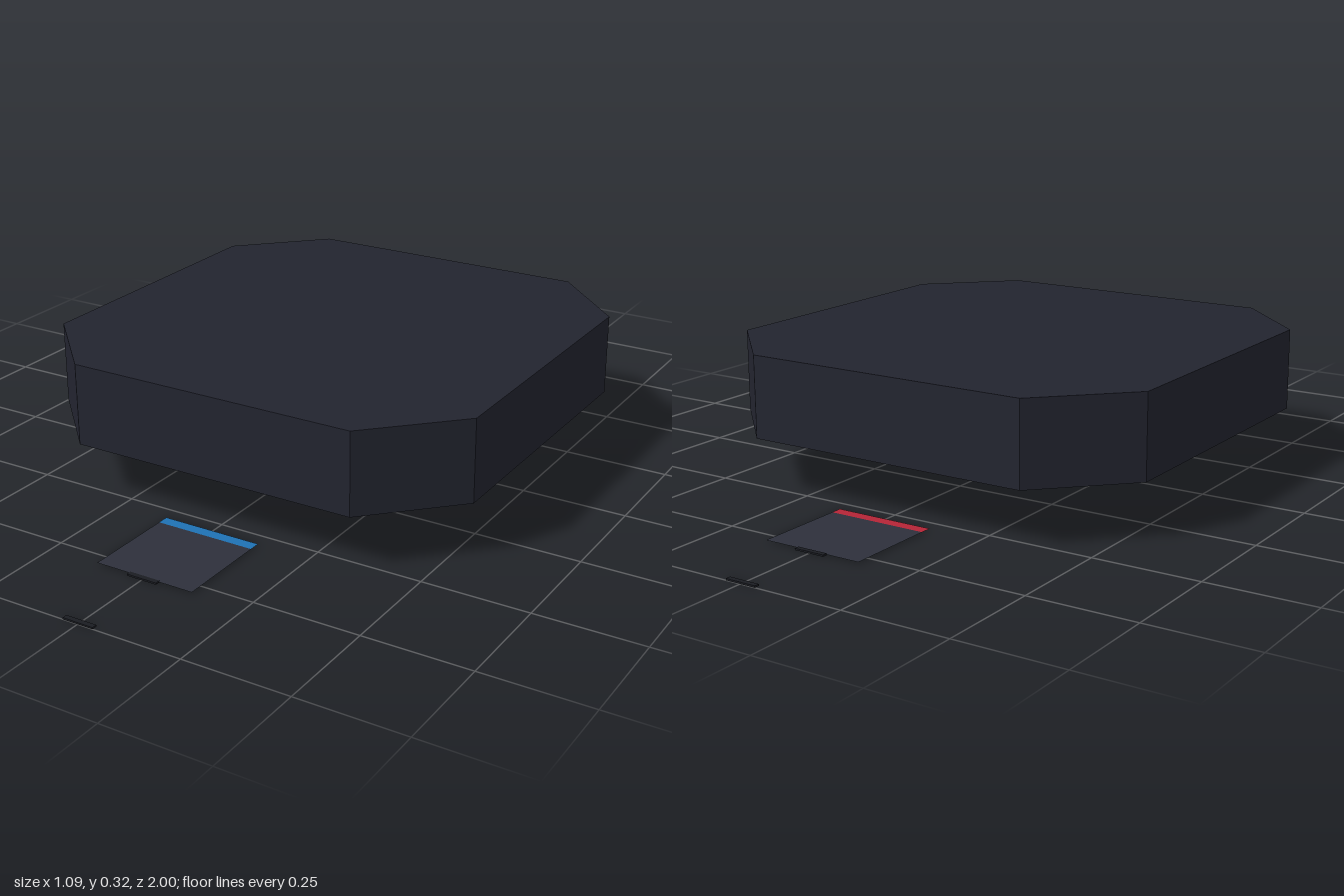
import * as THREE from 'three';

const HALF = 0.545, CUT = 0.355, BASE = 0.13, TOP = 0.325;

const paint = (color) => new THREE.MeshStandardMaterial({ color, side: THREE.DoubleSide });

// Corners of the square with cut corners, shrunk inward by an inset
function octagonPoints(inset = 0) {
  const h = HALF - inset, c = CUT - inset * 0.41;
  return [[h, -c], [h, c], [c, h], [-c, h], [-h, c], [-h, -c], [-c, -h], [c, -h]]
    .map(([x, y]) => new THREE.Vector2(x, y));
}

export function createModel() {
  const model = new THREE.Group();
  model.name = 'arena';
  const shellMat = paint(0x22242f), padMat = paint(0x2d303b), darkMat = paint(0x1a1c22);
  const tealMat = paint(0x1f7f80), purpleMat = paint(0x4a3f90);

  const add = (parent, name, geometry, material, x = 0, y = 0, z = 0) => {
    const mesh = new THREE.Mesh(geometry, material);
    mesh.name = name;
    mesh.position.set(x, y, z);
    parent.add(mesh);
    return mesh;
  };
  const flat = (geometry) => geometry.rotateX(-Math.PI / 2);

  // Thin eight-sided wall, open underneath
  const wallShape = new THREE.Shape(octagonPoints());
  wallShape.holes.push(new THREE.Path(octagonPoints(0.006)));
  add(model, 'walls', flat(new THREE.ExtrudeGeometry(wallShape, { depth: TOP - BASE, bevelEnabled: false })),
    shellMat, 0, BASE, 0);

  // Plate closing the top
  add(model, 'topPlate', flat(new THREE.ShapeGeometry(new THREE.Shape(octagonPoints()))), shellMat, 0, TOP, 0);

  // Markings on the underside of the plate
  const markings = new THREE.Group();
  markings.name = 'plateMarkings';
  markings.position.y = TOP - 0.002;
  model.add(markings);
  [[0.135, tealMat], [0.27, purpleMat], [0.4, tealMat]].forEach(([r, mat]) =>
    add(markings, 'ringLine', flat(new THREE.RingGeometry(r - 0.002, r + 0.002, 64)), mat));
  for (let i = 0; i < 12; i++) {
    const spoke = add(markings, 'spokeLine', flat(new THREE.PlaneGeometry(0.37, 0.002).translate(0.325, 0, 0)), darkMat);
    spoke.rotation.y = (i * Math.PI) / 6;
  }
  const edge = new THREE.Shape(octagonPoints(0.007));
  edge.holes.push(new THREE.Path(octagonPoints(0.011)));
  add(markings, 'edgeLine', flat(new THREE.ShapeGeometry(edge)), tealMat);

  // Flat entry pads at front and back, each with a coloured threshold and two markers
  for (const [side, name, color] of [[1, 'frontPad', 0x1f72b4], [-1, 'backPad', 0xb52537]]) {
    const pad = new THREE.Group();
    pad.name = name;
    model.add(pad);
    add(pad, 'padSurface', flat(new THREE.PlaneGeometry(0.245, 0.218)), padMat, 0, 0.003, side * 0.676);
    add(pad, 'threshold', flat(new THREE.PlaneGeometry(0.245, 0.027)), paint(color), 0, 0.003, side * 0.5535);
    for (const z of [0.787, 0.994])
      add(pad, 'marker', new THREE.BoxGeometry(0.075, 0.004, 0.012), darkMat, 0, 0.002, side * z);
  }
  return model;
}
